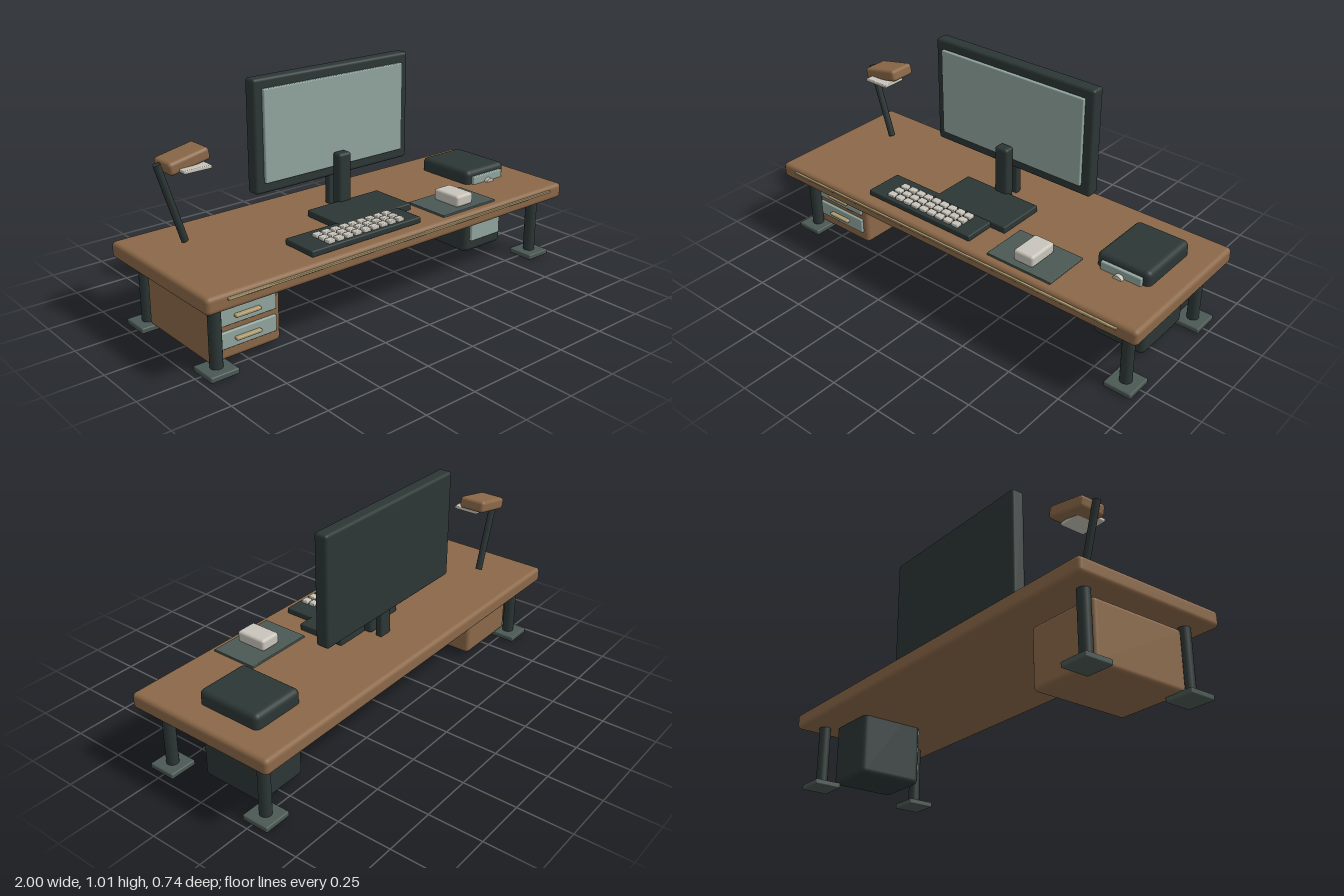
import * as THREE from 'three';
import { RoundedBoxGeometry } from 'three/addons/geometries/RoundedBoxGeometry.js';

const mat = (name, color) => {
  const m = new THREE.MeshStandardMaterial({ color });
  m.name = name;
  return m;
};

export function createModel() {
  const wood = mat('wood', 0x8b6848);
  const dark = mat('charcoal', 0x2c3735);
  const slate = mat('slate', 0x4b5854);
  const glass = mat('pale sage', 0x92a69f);
  const ivory = mat('ivory', 0xc9c5bb);
  const brass = mat('brass', 0xae9c70);

  const desk = new THREE.Group();
  desk.name = 'deskWorkstation';

  const add = (name, geometry, material, parent = desk) => {
    const mesh = new THREE.Mesh(geometry, material);
    mesh.name = name;
    parent.add(mesh);
    return mesh;
  };
  // Rounded block given by its extents on each axis
  const block = (name, material, [x0, x1], [y0, y1], [z0, z1], r = 0.005, parent = desk) => {
    const w = x1 - x0, h = y1 - y0, d = z1 - z0;
    const mesh = add(name, new RoundedBoxGeometry(w, h, d, 3, Math.min(r, 0.45 * Math.min(w, h, d))), material, parent);
    mesh.position.set((x0 + x1) / 2, (y0 + y1) / 2, (z0 + z1) / 2);
    return mesh;
  };
  const group = (name) => {
    const g = new THREE.Group();
    g.name = name;
    desk.add(g);
    return g;
  };

  // Tabletop with a thin trim along the front edge
  block('tabletop', wood, [-1, 1], [0.3, 0.373], [-0.37, 0.363], 0.02);
  block('frontTrim', brass, [-0.91, 0.91], [0.346, 0.356], [0.355, 0.373], 0.003);

  // Legs and square feet
  for (const x of [-0.908, 0.908]) {
    for (const z of [0.26, -0.265]) {
      const leg = add('leg', new THREE.CylinderGeometry(0.027, 0.027, 0.29, 20), dark);
      leg.position.set(x, 0.165, z);
      block('foot', slate, [x - 0.065, x + 0.065], [0, 0.025], [z - 0.065, z + 0.065], 0.006);
    }
  }

  // Drawer cabinet
  const cabinet = group('drawerCabinet');
  block('cabinetBody', wood, [-0.92, -0.58], [0.02, 0.288], [-0.232, 0.235], 0.02, cabinet);
  for (const y of [0.11, 0.208]) {
    block('drawerFront', glass, [-0.892, -0.608], [y - 0.036, y + 0.036], [0.225, 0.247], 0.005, cabinet);
    block('drawerHandle', brass, [-0.81, -0.69], [y - 0.007, y + 0.007], [0.24, 0.266], 0.005, cabinet);
  }

  // Computer tower set through the tabletop
  const tower = group('computerTower');
  block('towerCase', dark, [0.627, 0.882], [0.02, 0.438], [-0.216, 0.096], 0.025, tower);
  block('towerFrontPanel', glass, [0.657, 0.852], [0.08, 0.41], [0.085, 0.111], 0.005, tower);
  const button = add('powerButton', new THREE.CylinderGeometry(0.023, 0.023, 0.02, 24), ivory, tower);
  button.rotation.x = Math.PI / 2;
  button.position.set(0.752, 0.367, 0.12);

  // Monitor and stand
  const monitor = group('monitor');
  block('monitorCase', dark, [-0.432, 0.43], [0.505, 1.01], [-0.19, -0.125], 0.014, monitor);
  block('screen', glass, [-0.39, 0.387], [0.553, 0.966], [-0.135, -0.11], 0.005, monitor);
  block('standColumn', dark, [-0.035, 0.035], [0.37, 0.626], [-0.106, -0.052], 0.014, monitor);
  block('rearColumn', dark, [-0.034, 0.034], [0.37, 0.515], [-0.162, -0.128], 0.008, monitor);
  block('standBase', dark, [-0.204, 0.2], [0.37, 0.403], [-0.07, 0.162], 0.006, monitor);

  // Keyboard with three rows of keys
  const keyboard = group('keyboard');
  block('keyboardBody', dark, [-0.47, 0.123], [0.372, 0.4], [0.125, 0.306], 0.006, keyboard);
  for (let row = 0; row < 3; row++) {
    for (let col = 0; col < 9; col++) {
      const x = -0.353 + col * 0.0472, z = 0.191 + row * 0.041;
      block('key', ivory, [x - 0.018, x + 0.018], [0.395, 0.414], [z - 0.016, z + 0.016], 0.004, keyboard);
    }
  }

  // Mouse and pad
  block('mousePad', slate, [0.24, 0.567], [0.37, 0.382], [0.102, 0.328], 0.003);
  block('mouse', ivory, [0.354, 0.455], [0.38, 0.434], [0.147, 0.297], 0.013);

  // Desk lamp: leaning arm, tilted head, flat light plate
  const lamp = group('deskLamp');
  const foot = new THREE.Vector3(-0.776, 0.385, -0.15);
  const tip = new THREE.Vector3(-0.885, 0.735, -0.15);
  const arm = add('lampArm', new THREE.CylinderGeometry(0.016, 0.016, foot.distanceTo(tip), 12), dark, lamp);
  arm.position.copy(foot).lerp(tip, 0.5);
  arm.quaternion.setFromUnitVectors(new THREE.Vector3(0, 1, 0), tip.clone().sub(foot).normalize());
  const head = block('lampHead', wood, [-0.866, -0.674], [0.711, 0.767], [-0.213, -0.083], 0.016, lamp);
  head.rotation.z = 0.2;
  block('lampLight', ivory, [-0.822, -0.694], [0.706, 0.721], [-0.165, -0.045], 0.004, lamp);

  return desk;
}
